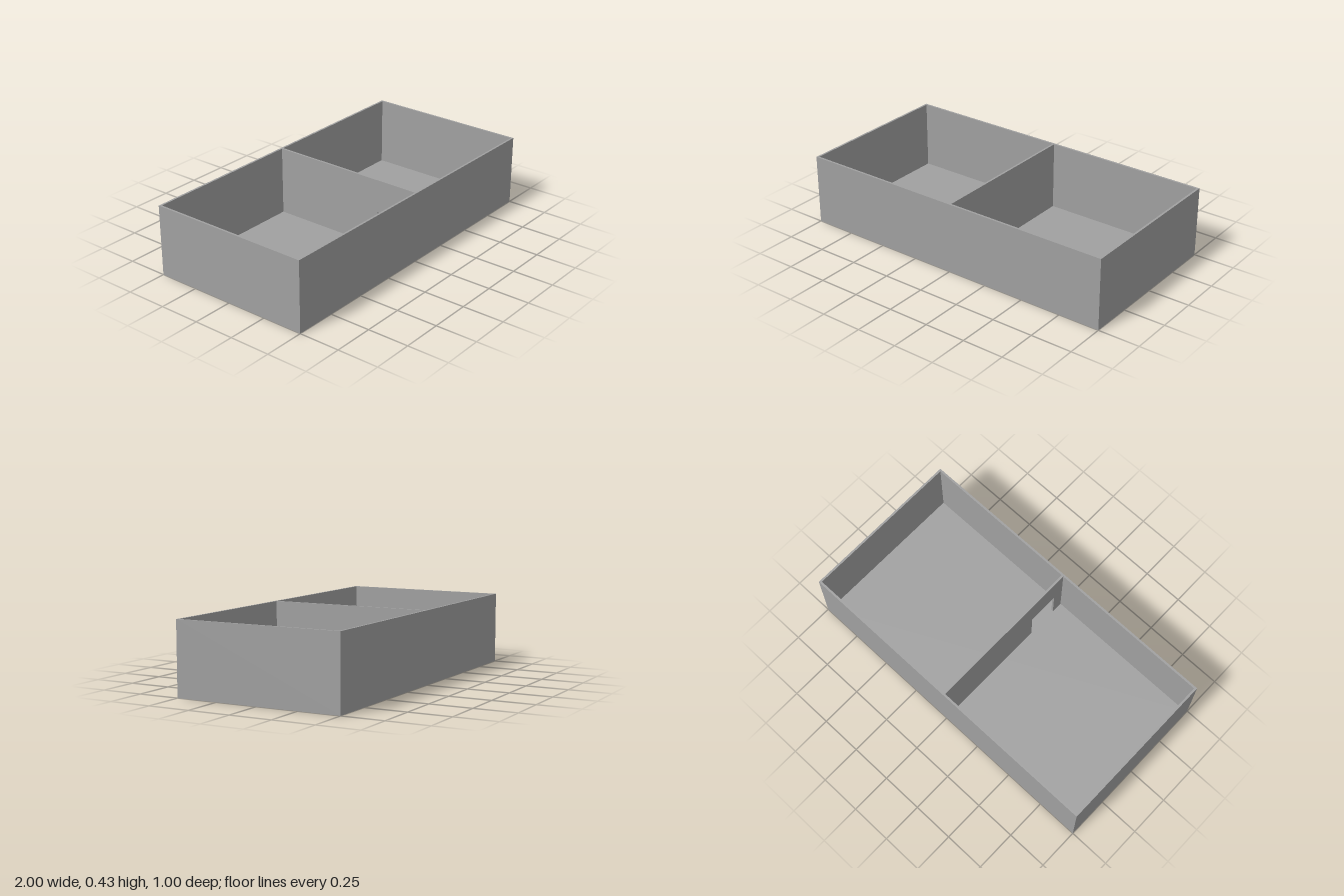
import * as THREE from 'three';

const L = 2, D = 1, H = 0.427; // overall size
const T = 0.0125;              // wall thickness
const F = 0.01;                // floor thickness

export function createModel() {
  const grey = new THREE.MeshStandardMaterial({ color: 0xa0a0a0 });
  grey.name = 'plain grey';
  const model = new THREE.Group();
  model.name = 'twoRoomBox';

  const add = (name, geometry) => {
    const mesh = new THREE.Mesh(geometry, grey);
    mesh.name = name;
    model.add(mesh);
    return mesh;
  };
  const rectangle = (Type, w, d) => new Type([
    new THREE.Vector2(-w / 2, -d / 2), new THREE.Vector2(w / 2, -d / 2),
    new THREE.Vector2(w / 2, d / 2), new THREE.Vector2(-w / 2, d / 2),
  ]);

  // Outer walls: one rectangular ring, open at the top
  const ring = rectangle(THREE.Shape, L, D);
  ring.holes.push(rectangle(THREE.Path, L - 2 * T, D - 2 * T));
  const walls = new THREE.ExtrudeGeometry(ring, { depth: H, bevelEnabled: false });
  walls.rotateX(-Math.PI / 2);
  add('outerWalls', walls);

  // Floor, set inside the wall ring
  add('floor', new THREE.BoxGeometry(L - 2 * T, F, D - 2 * T)).position.y = F / 2;

  // Dividing wall with a doorway near the front; shape x runs along model z
  const end = D / 2 - T, doorBack = 0.23, doorFront = 0.42, doorTop = 0.23;
  const outline = new THREE.Shape([
    [-end, F], [doorBack, F], [doorBack, doorTop], [doorFront, doorTop],
    [doorFront, F], [end, F], [end, H], [-end, H],
  ].map(([z, y]) => new THREE.Vector2(z, y)));
  const divider = new THREE.ExtrudeGeometry(outline, { depth: T, bevelEnabled: false });
  divider.rotateY(-Math.PI / 2); // shape x -> +z, depth -> -x
  add('dividingWall', divider).position.x = T;

  return model;
}
